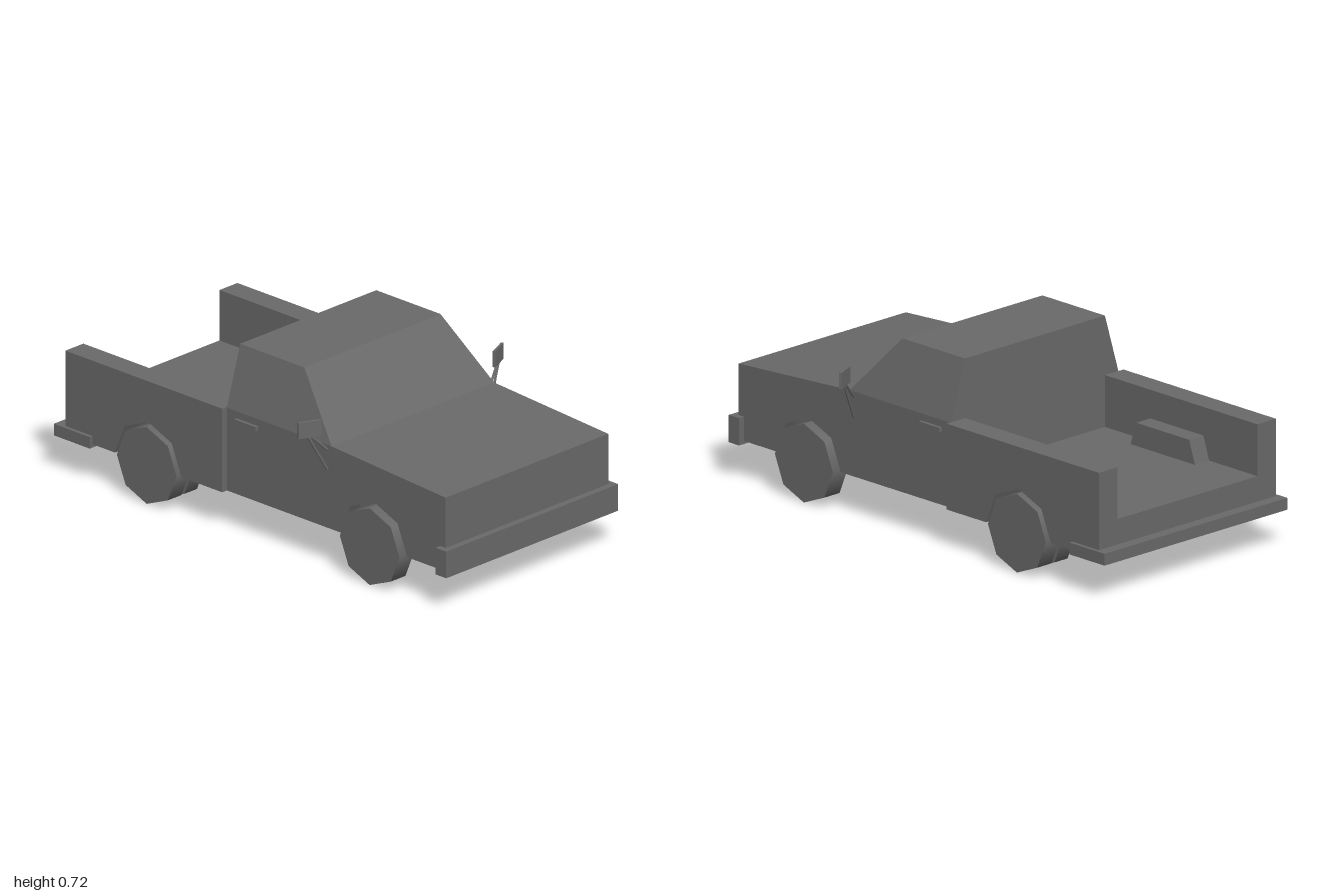
import * as THREE from 'three';
import { ConvexGeometry } from 'three/addons/geometries/ConvexGeometry.js';

const FLOOR = 0.153;            // underside of the body, also the wheel axis height
const BED = 0.285;              // bed floor height
const REAR = -0.53, FRONT = 0.605;

export function createModel() {
  const truck = new THREE.Group();
  truck.name = 'pickupTruck';
  const flat = new THREE.MeshStandardMaterial({ color: 0x696969, flatShading: true });
  const smooth = new THREE.MeshStandardMaterial({ color: 0x696969 });

  const add = (name, geometry, material = flat) => {
    const mesh = new THREE.Mesh(geometry, material);
    mesh.name = name;
    truck.add(mesh);
    return mesh;
  };
  // Box given by its lower and upper limits on each axis
  const box = (name, x0, x1, y0, y1, z0, z1) =>
    add(name, new THREE.BoxGeometry(x1 - x0, y1 - y0, z1 - z0))
      .position.set((x0 + x1) / 2, (y0 + y1) / 2, (z0 + z1) / 2);
  // Side profile pushed from z0 to z1
  const slab = (name, points, z0, z1) => {
    const shape = new THREE.Shape(points.map(p => new THREE.Vector2(...p)));
    const g = new THREE.ExtrudeGeometry(shape, { depth: z1 - z0, bevelEnabled: false });
    add(name, g.translate(0, 0, z0));
  };
  // Smooth-shaded cylinder along z
  const disc = (name, x, radius, z0, z1, sides) => {
    const g = new THREE.CylinderGeometry(radius, radius, z1 - z0, sides).rotateX(Math.PI / 2);
    add(name, g, smooth).position.set(x, FLOOR, (z0 + z1) / 2);
  };
  const rod = (name, a, b) => {
    const path = new THREE.LineCurve3(new THREE.Vector3(...a), new THREE.Vector3(...b));
    add(name, new THREE.TubeGeometry(path, 1, 0.005, 6));
  };
  // Half octagon cut into the lower edge, from left to right
  const arch = cx => [4, 3, 2, 1, 0].map(i => [
    cx + 0.171 * Math.cos(i * Math.PI / 4), FLOOR + 0.171 * Math.sin(i * Math.PI / 4)]);

  // Cab and bonnet body: solid centre, with arched outer sides added below
  const top = [[0.973, 0.447], [0.387, 0.483], [-0.15, 0.483]];
  const ends = [[-0.15, FLOOR], [0.973, FLOOR]];
  slab('bodyCentre', [...ends, ...top], -0.372, 0.372);

  // Tapered cab top with sloping windscreen
  const cab = [];
  for (const s of [-1, 1]) cab.push(
    new THREE.Vector3(-0.15, 0.483, s * 0.43), new THREE.Vector3(0.387, 0.483, s * 0.43),
    new THREE.Vector3(-0.15, 0.717, s * 0.36), new THREE.Vector3(0.18, 0.717, s * 0.36));
  add('cabTop', new ConvexGeometry(cab));

  // Open bed and bumpers
  box('bedFloor', -0.955, -0.15, FLOOR, BED, -0.305, 0.305);
  box('rearBumper', -1, -0.815, 0.14, 0.186, -0.47, 0.47);
  box('frontBumper', 0.945, 1, 0.141, 0.247, -0.455, 0.455);
  const wellTop = [[REAR + 0.17, BED], [REAR + 0.14, 0.375],
    [REAR - 0.14, 0.375], [REAR - 0.17, BED]];

  for (const s of [-1, 1]) {
    const side = s > 0 ? 'near' : 'far';
    const flip = (a, b) => (s > 0 ? [a, b] : [-b, -a]);

    // Outer body and bed wall with wheel arches
    slab(side + 'BodySide', [ends[0], ...arch(FRONT), ends[1], ...top], ...flip(0.372, 0.43));
    slab(side + 'BedWall', [[-0.955, FLOOR], ...arch(REAR), [-0.15, FLOOR],
      [-0.15, 0.486], [-0.955, 0.486]], ...flip(0.36, 0.455));

    // Bed floor edge and wheel well, closed on the inside
    slab(side + 'BedFloorEdge', [[-0.955, FLOOR], ...arch(REAR), [-0.15, FLOOR],
      [-0.15, BED], ...wellTop, [-0.955, BED]], ...flip(0.305, 0.36));
    slab(side + 'WheelWellInner', wellTop, ...flip(0.287, 0.305));

    // Single front wheel and paired rear wheels
    disc(side + 'FrontWheel', FRONT, 0.153, ...flip(0.375, 0.453), 8);
    disc(side + 'RearInnerWheel', REAR, 0.153, ...flip(0.308, 0.375), 8);
    disc(side + 'RearOuterWheel', REAR, 0.153, ...flip(0.39, 0.463), 8);

    // Door handle
    box(side + 'DoorHandle', -0.1, 0.01, 0.438, 0.455, ...flip(0.428, 0.443));

    // Wing mirror on two struts
    const mirror = add(side + 'Mirror', new THREE.BoxGeometry(0.01, 0.064, 0.09));
    mirror.position.set(0.341, 0.559, s * 0.499);
    mirror.rotation.y = -s * 0.42;
    rod(side + 'MirrorLowerStrut', [0.367, 0.382, s * 0.428], [0.337, 0.535, s * 0.507]);
    rod(side + 'MirrorUpperStrut', [0.367, 0.462, s * 0.428], [0.341, 0.535, s * 0.498]);
  }

  // Axles
  disc('frontAxle', FRONT, 0.042, -0.378, 0.378, 20);
  disc('rearAxle', REAR, 0.042, -0.378, 0.378, 20);

  return truck;
}
